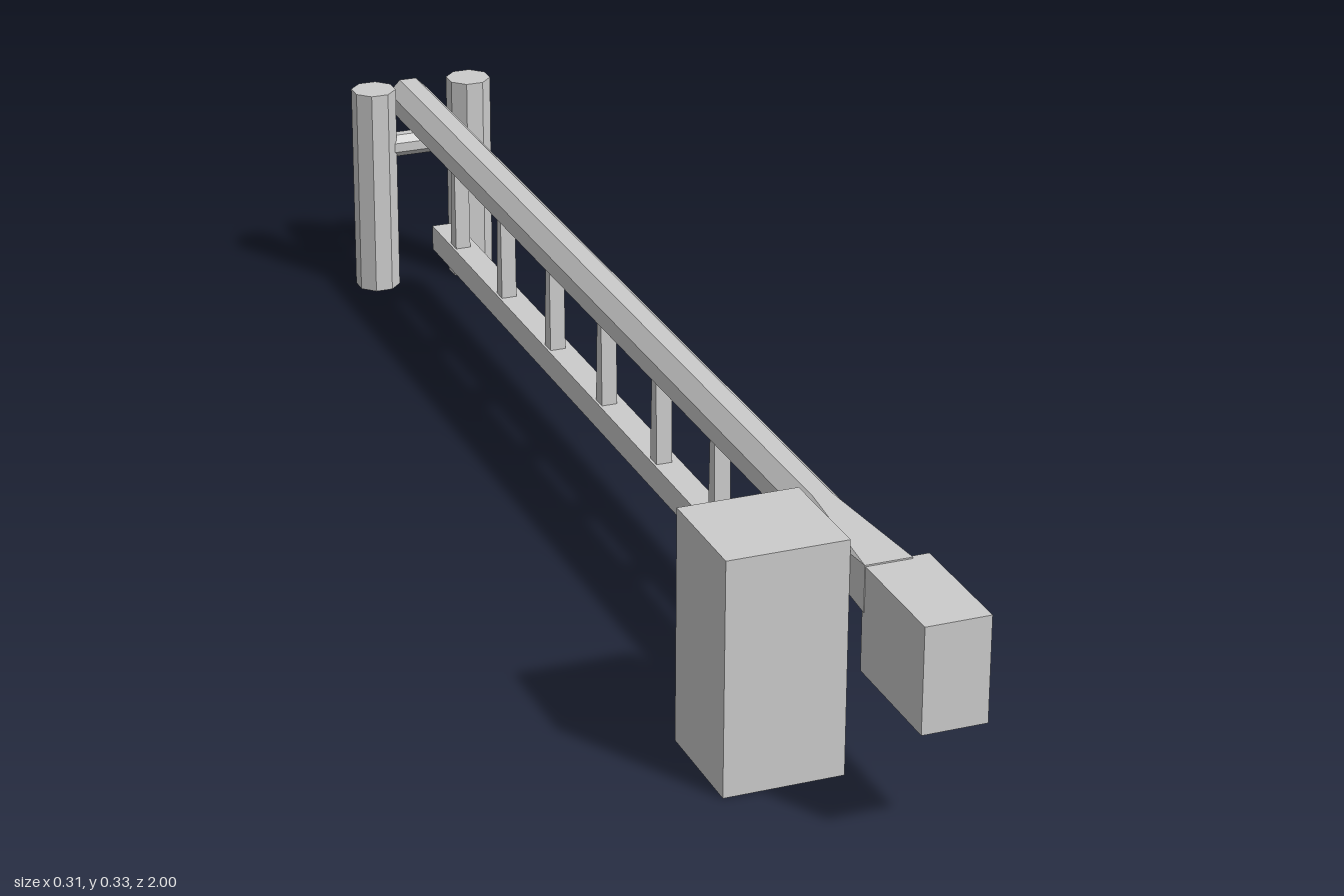
import * as THREE from 'three';
import { mergeGeometries } from 'three/addons/utils/BufferGeometryUtils.js';

const material = new THREE.MeshStandardMaterial({ color: 0xcccccc, flatShading: true });
const shellMaterial = new THREE.MeshStandardMaterial({
  color: 0xcccccc, flatShading: true, side: THREE.DoubleSide,
});

const BEAM_X = 0.042, BEAM_Y = 0.28, BEAM_HALF = 0.032;

function add(parent, name, geometry, mat = material) {
  const mesh = new THREE.Mesh(geometry, mat);
  mesh.name = name;
  parent.add(mesh);
  return mesh;
}

// Box given by its extents on each axis
function boxBetween([x0, x1], [y0, y1], [z0, z1]) {
  return new THREE.BoxGeometry(x1 - x0, y1 - y0, z1 - z0)
    .translate((x0 + x1) / 2, (y0 + y1) / 2, (z0 + z1) / 2);
}

// Octagonal beam whose front end blends into a square
function beamGeometry() {
  const octagon = (z) => Array.from({ length: 8 }, (_, i) => {
    const a = Math.PI / 8 + i * Math.PI / 4, r = BEAM_HALF / Math.cos(Math.PI / 8);
    return [BEAM_X + r * Math.cos(a), BEAM_Y + r * Math.sin(a), z];
  });
  const square = (z) => octagon(z).map(([x, y]) => [
    BEAM_X + Math.sign(x - BEAM_X) * BEAM_HALF,
    BEAM_Y + Math.sign(y - BEAM_Y) * BEAM_HALF, z,
  ]);
  const rings = [octagon(-1), octagon(0.63), square(0.83)];
  const points = [];
  const tri = (a, b, c) => points.push(...a, ...b, ...c);
  for (let s = 0; s < 2; s++) {
    for (let i = 0; i < 8; i++) {
      const j = (i + 1) % 8, p = rings[s], q = rings[s + 1];
      tri(p[i], p[j], q[j]);
      // Each even side narrows to a single corner at the square end
      if (s === 0 || i % 2 === 1) tri(p[i], q[j], q[i]);
    }
  }
  const [back, , front] = rings;
  for (let i = 1; i < 7; i++) tri(back[0], back[i + 1], back[i]);
  tri(front[0], front[2], front[4]);
  tri(front[0], front[4], front[6]);
  const geometry = new THREE.BufferGeometry();
  geometry.setAttribute('position', new THREE.Float32BufferAttribute(points, 3));
  geometry.computeVertexNormals();
  return geometry;
}

// Box without its underside
function cabinetGeometry() {
  const geometry = boxBetween([-0.154, 0.01], [0, 0.327], [0.628, 0.787]);
  const index = Array.from(geometry.index.array);
  index.splice(18, 6);
  geometry.setIndex(index);
  return geometry;
}

// Octagonal post with a top cap and an open foot
function postGeometry(x) {
  const r = 0.032 / Math.cos(Math.PI / 8), h = 0.327;
  const wall = new THREE.CylinderGeometry(r, r, h, 8, 1, true)
    .rotateY(Math.PI / 8).translate(0, h / 2, 0);
  const cap = new THREE.CircleGeometry(r, 8, Math.PI / 8)
    .rotateX(-Math.PI / 2).translate(0, h, 0);
  return mergeGeometries([wall, cap]).translate(x, 0, -0.935);
}

// Hanging strut, slimmer at the top along the beam
function strutGeometry(z) {
  const geometry = new THREE.BoxGeometry(0.023, 0.134, 0.024);
  const p = geometry.attributes.position;
  for (let i = 0; i < p.count; i++) {
    if (p.getY(i) > 0) p.setZ(i, p.getZ(i) * 0.65);
  }
  geometry.computeVertexNormals();
  return geometry.translate(BEAM_X, 0.187, z);
}

export function createModel() {
  const model = new THREE.Group();
  model.name = 'barrierGate';

  // Drive cabinet, swinging beam and its counterweight
  add(model, 'cabinet', cabinetGeometry(), shellMaterial);
  add(model, 'beam', beamGeometry());
  add(model, 'counterweight', boxBetween([0.011, 0.099], [0.165, 0.31], [0.823, 1]));

  // Lower rail hanging from evenly spaced struts
  const skirt = new THREE.Group();
  skirt.name = 'hangingRail';
  model.add(skirt);
  add(skirt, 'lowerRail', boxBetween([0.027, 0.066], [0.083, 0.122], [-0.846, 0.61]));
  for (let i = 0; i < 7; i++) add(skirt, 'strut', strutGeometry(0.506 - i * 0.21));

  // Catch: two posts joined by a bar under the beam tip
  const rest = new THREE.Group();
  rest.name = 'beamRest';
  model.add(rest);
  for (const side of [-1, 1]) {
    add(rest, side < 0 ? 'rightPost' : 'leftPost', postGeometry(BEAM_X + side * 0.078), shellMaterial);
  }
  const bar = new THREE.CylinderGeometry(0.019, 0.019, 0.13, 8)
    .rotateY(Math.PI / 8).rotateZ(Math.PI / 2).translate(BEAM_X, 0.231, -0.935);
  add(rest, 'crossBar', bar);

  return model;
}
